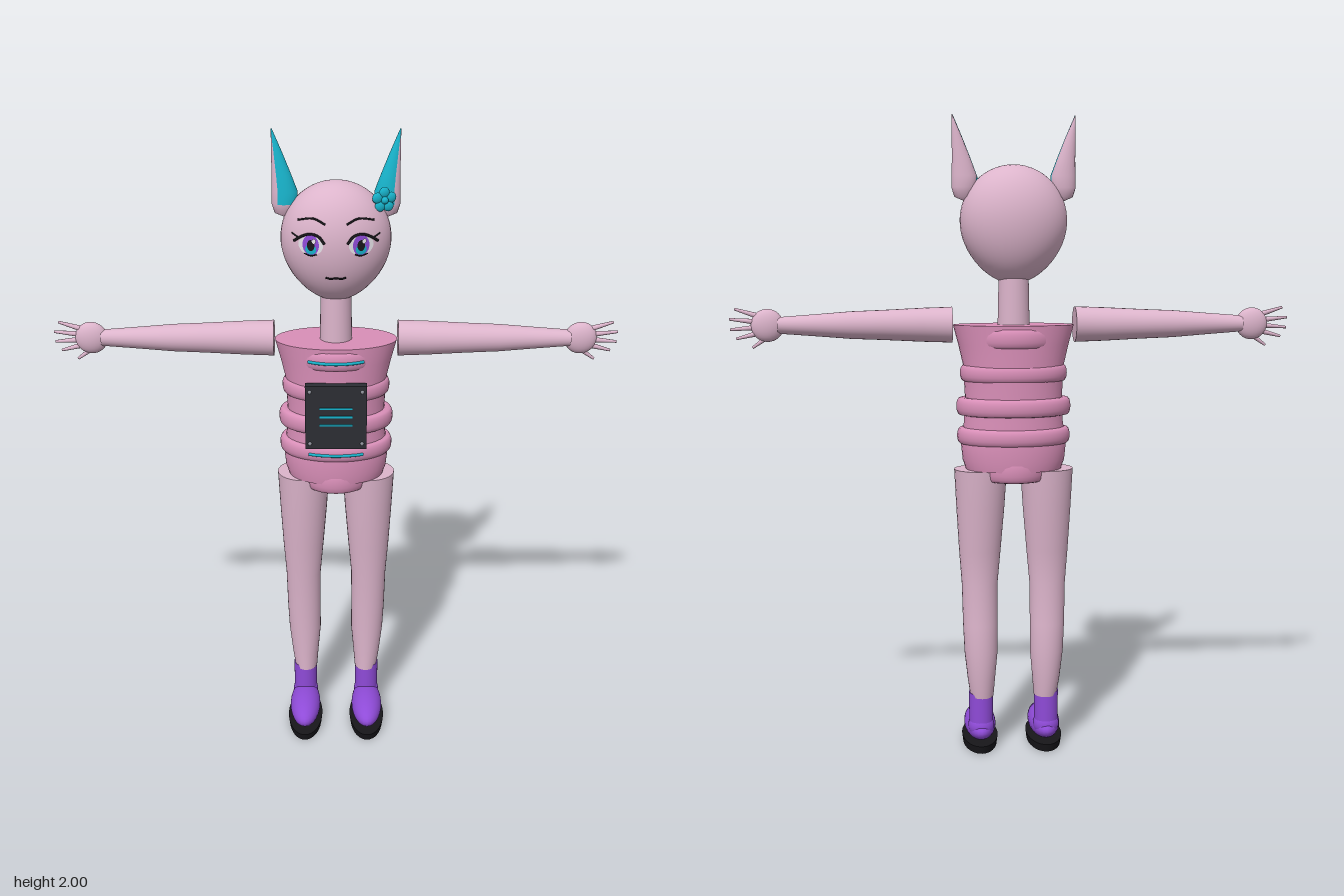
import * as THREE from 'three';

const mat = (name, color, side = THREE.FrontSide) => {
  const m = new THREE.MeshStandardMaterial({ color, side });
  m.name = name;
  return m;
};
const M = {
  skin: mat('skin pink', 0xdcb4cb),
  suit: mat('suit pink', 0xd98fb8),
  purple: mat('violet', 0x8f4bd8),
  cyan: mat('cyan', 0x18b4cc, THREE.DoubleSide),
  plate: mat('dark plate', 0x2c2e34),
  black: mat('black', 0x17161a),
  white: mat('white', 0xf4f0f6),
  grey: mat('rivet grey', 0x8a8d96),
};
const CZ = -0.037; // depth of the body axis

function add(parent, name, geo, material, x = 0, y = 0, z = 0) {
  const mesh = new THREE.Mesh(geo, material);
  mesh.name = name;
  mesh.position.set(x, y, z);
  parent.add(mesh);
  return mesh;
}

// Skin over elliptical rings [cx, y, cz, rx, rz], listed bottom to top; a repeated ring makes a sharp edge
function loft(rings, n = 32, t0 = -Math.PI, t1 = Math.PI) {
  const full = t1 - t0 > 6.28, cols = full ? n : n + 1, pos = [], idx = [];
  for (const [cx, y, cz, rx, rz] of rings)
    for (let i = 0; i < cols; i++) {
      const t = t0 + ((t1 - t0) * i) / n;
      pos.push(cx + rx * Math.sin(t), y, cz + rz * Math.cos(t));
    }
  for (let j = 0; j < rings.length - 1; j++)
    for (let i = 0; i < n; i++) {
      const a = j * cols + i, b = j * cols + ((i + 1) % cols), c = b + cols, d = a + cols;
      idx.push(a, b, c, a, c, d);
    }
  const g = new THREE.BufferGeometry();
  g.setAttribute('position', new THREE.Float32BufferAttribute(pos, 3));
  g.setIndex(idx);
  g.computeVertexNormals();
  return g;
}
// Close both ends with flat, sharp caps
function capped(rings) {
  const a = rings[0], b = rings[rings.length - 1];
  const dot = ([x, y, z]) => [x, y, z, 0, 0];
  return [dot(a), a, ...rings, b, dot(b)];
}
const tube = (pts, r) =>
  new THREE.TubeGeometry(new THREE.CatmullRomCurve3(pts), 16, r, 6);

// Egg-shaped head: radii at a height, and depth of its front surface
function headRadii(y) {
  const d = y > 1.685 ? (y - 1.685) / 0.17 : (1.685 - y) / 0.19;
  const r = Math.sqrt(Math.max(0, 1 - d * d));
  return [0.165 * r * (y < 1.685 ? 1 - 0.14 * d * d : 1), 0.12 * r];
}
function faceZ(x, y) {
  const [rx, rz] = headRadii(y);
  return CZ + rz * Math.sqrt(Math.max(0, 1 - (x / rx) ** 2));
}
// Ellipse laid on the face
function faceDisc(parent, name, material, x, y, rx, ry, lift) {
  const g = new THREE.CircleGeometry(1, 24);
  const p = g.attributes.position;
  for (let i = 0; i < p.count; i++) {
    const px = x + rx * p.getX(i), py = y + ry * p.getY(i);
    p.setXYZ(i, px, py, faceZ(px, py) + lift);
  }
  g.computeVertexNormals();
  add(parent, name, g, material);
}
// Thin line laid on the face
function faceLine(parent, name, pts, r) {
  add(parent, name, tube(pts.map(([x, y]) => new THREE.Vector3(x, y, faceZ(x, y) + 0.004)), r), M.black);
}

function buildHead(root) {
  const head = new THREE.Group();
  head.name = 'head';
  root.add(head);
  const rings = [];
  for (let i = 0; i <= 28; i++) {
    const y = 1.675 - 0.18 * Math.cos((Math.PI * i) / 28);
    rings.push([0, y, CZ, ...headRadii(y)]);
  }
  add(head, 'skull', loft(rings, 40), M.skin);
  add(root, 'neck', new THREE.CylinderGeometry(0.046, 0.05, 0.19, 28), M.skin, 0, 1.445, -0.04);

  for (const s of [1, -1]) {
    const ex = 0.073 * s, ey = 1.69;
    faceDisc(head, 'eyeWhite', M.white, ex, ey, 0.036, 0.03, 0.002);
    faceDisc(head, 'iris', M.purple, ex, ey, 0.024, 0.03, 0.004);
    faceDisc(head, 'irisGlow', M.cyan, ex, ey - 0.012, 0.016, 0.015, 0.0055);
    faceDisc(head, 'pupil', M.black, ex, ey, 0.011, 0.016, 0.007);
    faceDisc(head, 'eyeGlint', M.white, ex + 0.009, ey + 0.013, 0.006, 0.007, 0.0085);
    faceLine(head, 'upperLash', [[0.033, 1.695], [0.05, 1.716], [0.075, 1.722], [0.1, 1.713], [0.122, 1.697]].map(([x, y]) => [x * s, y]), 0.004);
    faceLine(head, 'lashTip', [[0.108, 1.708], [0.118, 1.713], [0.128, 1.718]].map(([x, y]) => [x * s, y]), 0.0025);
    faceLine(head, 'lowerLash', [[0.055, 1.664], [0.073, 1.659], [0.092, 1.664]].map(([x, y]) => [x * s, y]), 0.002);
    faceLine(head, 'brow', [[0.03, 1.75], [0.065, 1.765], [0.11, 1.757]].map(([x, y]) => [x * s, y]), 0.003);

    // Tall pointed ear with a coloured inner face
    const ear = [
      [0.15, 1.745, -0.045, 0.003, 0.003], [0.153, 1.757, -0.045, 0.028, 0.018],
      [0.153, 1.785, -0.045, 0.037, 0.025], [0.151, 1.82, -0.045, 0.038, 0.024],
      [0.16, 1.87, -0.046, 0.028, 0.019], [0.172, 1.93, -0.048, 0.016, 0.012], [0.187, 2, -0.05, 0.001, 0.001],
    ].map(([x, ...r]) => [x * s, ...r]);
    add(head, 'ear', loft(ear, 20), M.skin);
    const inner = ear.slice(2).map(([x, y, z, rx, rz]) => [x, y, z, rx + 0.001, rz + 0.002]);
    add(head, 'innerEar', loft(inner, 12, s > 0 ? -1.9 : -0.5, s > 0 ? 0.5 : 1.9), M.cyan);
  }
  faceLine(head, 'mouth', [[-0.03, 1.592], [-0.015, 1.588], [0, 1.591], [0.015, 1.588], [0.03, 1.592]], 0.0028);

  // Hair flower beside the left ear
  const flower = new THREE.Group();
  flower.name = 'flower';
  flower.position.set(0.14, 1.805, 0.002);
  flower.rotation.y = 0.3;
  head.add(flower);
  for (let i = 0; i < 5; i++) {
    const a = Math.PI / 2 + (i * Math.PI * 2) / 5;
    add(flower, 'petal', new THREE.SphereGeometry(0.016, 14, 10), M.cyan, 0.022 * Math.cos(a), 0.022 * Math.sin(a), 0).scale.z = 0.5;
  }
  add(flower, 'flowerCentre', new THREE.SphereGeometry(0.011, 12, 8), M.cyan, 0, 0, 0.006);
}

function buildTorso(root) {
  const torso = new THREE.Group();
  torso.name = 'torso';
  root.add(torso);
  const body = [[0.92, 0.15, 0.108], [0.95, 0.16, 0.112], [1.0, 0.165, 0.113], [1.07, 0.155, 0.107], [1.15, 0.152, 0.106], [1.245, 0.157, 0.108], [1.31, 0.172, 0.11], [1.37, 0.188, 0.112]];
  add(torso, 'body', loft(capped(body.map(([y, rx, rz]) => [0, y, CZ, rx, rz])), 40), M.suit);
  // Rounded padded bands: bottom, top, half width, half depth
  for (const [y0, y1, rx, rz] of [[1.3, 1.36, 0.145, 0.122], [1.195, 1.247, 0.167, 0.113], [1.09, 1.145, 0.179, 0.122], [1.0, 1.052, 0.177, 0.122], [0.885, 0.96, 0.112, 0.113]]) {
    const rings = [];
    for (let i = 0; i <= 8; i++) {
      const a = (Math.PI * i) / 8, inset = 0.016 * (1 - Math.sin(a) ** 0.7);
      rings.push([0, (y0 + y1) / 2 - ((y1 - y0) / 2) * Math.cos(a), CZ, rx - inset, rz - inset]);
    }
    add(torso, 'paddedBand', loft(capped(rings), 40), M.suit);
  }
  // Glowing strips following the bands
  for (const [y, rx] of [[1.328, 0.145], [1.026, 0.177]]) {
    const pts = [];
    for (let i = -4; i <= 4; i++) {
      const x = i * 0.021;
      pts.push(new THREE.Vector3(x, y, CZ + 0.123 * Math.sqrt(1 - (x / rx) ** 2)));
    }
    add(torso, 'lightStrip', tube(pts, 0.005), M.cyan);
  }
  // Chest panel with lines and rivets
  add(torso, 'chestPanel', new THREE.BoxGeometry(0.188, 0.206, 0.03), M.plate, 0, 1.159, 0.083);
  for (const y of [1.19, 1.163, 1.136])
    add(torso, 'panelLine', new THREE.BoxGeometry(0.1, 0.006, 0.006), M.cyan, 0, y, 0.099);
  for (const x of [-0.08, 0.08])
    for (const y of [1.074, 1.244])
      add(torso, 'rivet', new THREE.SphereGeometry(0.006, 10, 8), M.grey, x, y, 0.098);
}

function buildArm(root, s) {
  const arm = new THREE.Group();
  arm.name = s > 0 ? 'leftArm' : 'rightArm';
  arm.position.set(0, 1.37, -0.04);
  root.add(arm);
  const rings = [[0.19, 0.055], [0.28, 0.052], [0.4, 0.046], [0.5, 0.042], [0.6, 0.034], [0.72, 0.025]];
  const g = loft(capped(rings.map(([x, r]) => [0, x, 0, r, r])), 28);
  g.rotateZ((-s * Math.PI) / 2);
  add(arm, 'sleeve', g, M.skin);
  add(arm, 'palm', new THREE.SphereGeometry(0.05, 24, 16), M.skin, 0.752 * s, 0, 0).scale.z = 0.5;
  // Fingers fan out from the palm: root height, angle, length
  for (const [y, a, len, x0] of [[0.028, 0.3, 0.075, 0.778], [0.011, 0.1, 0.082, 0.784], [-0.006, -0.08, 0.08, 0.784], [-0.023, -0.25, 0.07, 0.778], [-0.03, -0.62, 0.065, 0.745]]) {
    const f = new THREE.CylinderGeometry(0.004, 0.009, len, 10);
    f.translate(0, len / 2, 0);
    add(arm, 'finger', f, M.skin, x0 * s, y, 0).rotation.z = s * (a - Math.PI / 2);
  }
}

function buildLeg(root, s) {
  const leg = new THREE.Group();
  leg.name = s > 0 ? 'leftLeg' : 'rightLeg';
  root.add(leg);
  const rings = [
    [0.102, 0.18, -0.04, 0.037, 0.042], [0.104, 0.24, -0.045, 0.044, 0.046], [0.105, 0.33, -0.048, 0.053, 0.05],
    [0.107, 0.42, -0.045, 0.055, 0.049], [0.108, 0.55, -0.037, 0.057, 0.047], [0.107, 0.66, -0.037, 0.066, 0.057],
    [0.105, 0.8, -0.039, 0.076, 0.071], [0.104, 0.92, -0.04, 0.083, 0.08],
  ].map(([x, ...r]) => [x * s, ...r]);
  add(leg, 'limb', loft(capped(rings), 28), M.skin);
  // Boot: cuff, heel, foot and sole
  const x = 0.105 * s;
  add(leg, 'bootCuff', new THREE.CylinderGeometry(0.039, 0.038, 0.12, 28), M.purple, x, 0.132, -0.04);
  add(leg, 'bootHeel', new THREE.SphereGeometry(0.042, 24, 16), M.purple, x, 0.08, -0.04);
  add(leg, 'bootFoot', new THREE.SphereGeometry(1, 28, 18), M.purple, x, 0.066, 0.031).scale.set(0.051, 0.045, 0.122);
  add(leg, 'sole', new THREE.CylinderGeometry(1, 0.94, 0.026, 36), M.black, x, 0.013, 0.032).scale.set(0.058, 1, 0.127);
}

export function createModel() {
  const root = new THREE.Group();
  root.name = 'figure';
  buildHead(root);
  buildTorso(root);
  for (const s of [1, -1]) {
    buildArm(root, s);
    buildLeg(root, s);
  }
  return root;
}
